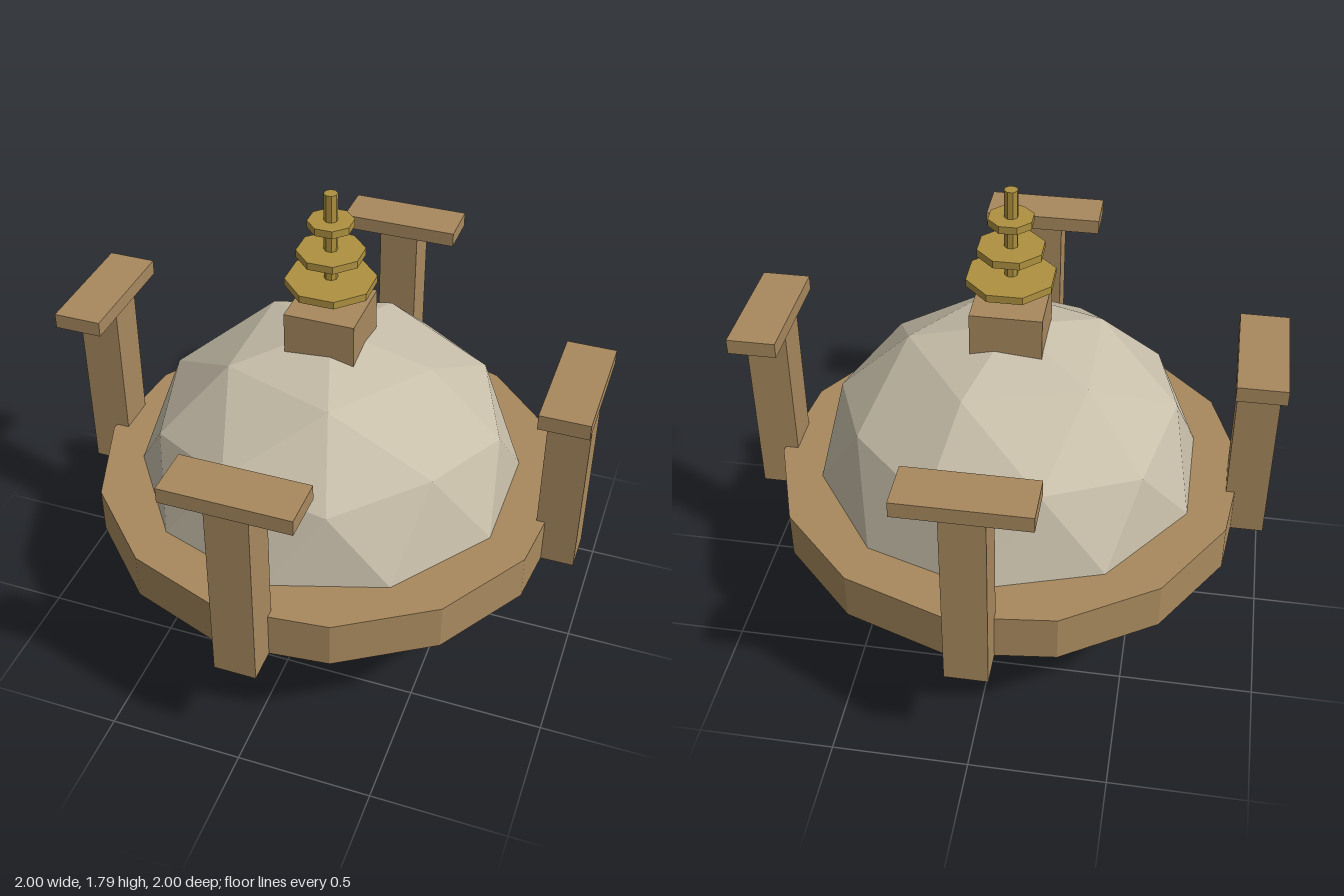
import * as THREE from 'three';

const material = (name, color) => {
  const m = new THREE.MeshStandardMaterial({ color, flatShading: true });
  m.name = name;
  return m;
};

export function createModel() {
  const model = new THREE.Group();
  model.name = 'stupa';
  const stone = material('pale stone', 0xc8bfaa);
  const wood = material('brown sandstone', 0xa8895e);
  const gold = material('gold', 0xae9140);

  const add = (parent, name, geometry, mat, x, y, z) => {
    const mesh = new THREE.Mesh(geometry, mat);
    mesh.name = name;
    mesh.position.set(x, y, z);
    parent.add(mesh);
    return mesh;
  };

  // Faceted dome, turned so one corner points straight up, slightly squashed
  const domeGeometry = new THREE.IcosahedronGeometry(1, 1);
  domeGeometry.rotateZ(-Math.atan(2 / (1 + Math.sqrt(5))));
  domeGeometry.scale(0.73, 0.62, 0.73);
  add(model, 'dome', domeGeometry, stone, 0, 0.62, 0);

  // Fourteen-sided railing around the dome
  const railing = new THREE.CylinderGeometry(0.89, 0.89, 0.18, 14, 1, false, Math.PI / 4);
  add(model, 'railing', railing, wood, 0, 0.53, 0);

  // Four gateways, one per side
  for (let i = 0; i < 4; i++) {
    const gate = new THREE.Group();
    gate.name = 'gateway' + (i + 1);
    gate.rotation.y = (i * Math.PI) / 2;
    add(gate, 'gatePost', new THREE.BoxGeometry(0.155, 0.72, 0.155), wood, 0, 0.8, 0.91);
    add(gate, 'gateLintel', new THREE.BoxGeometry(0.464, 0.058, 0.18), wood, 0, 1.191, 0.91);
    model.add(gate);
  }

  // Square block on top of the dome
  add(model, 'topBlock', new THREE.BoxGeometry(0.262, 0.17, 0.262), wood, 0, 1.265, 0);

  // Mast with three shrinking octagonal parasols
  const octagon = (radius, height) =>
    new THREE.CylinderGeometry(radius, radius, height, 8, 1, false, Math.PI / 8);
  const spire = new THREE.Group();
  spire.name = 'spire';
  add(spire, 'mast', octagon(0.025, 0.46), gold, 0, 1.56, 0);
  [[0.165, 1.442], [0.123, 1.557], [0.083, 1.673]].forEach(([radius, y], i) =>
    add(spire, 'parasol' + (i + 1), octagon(radius, 0.028), gold, 0, y, 0));
  model.add(spire);

  return model;
}
